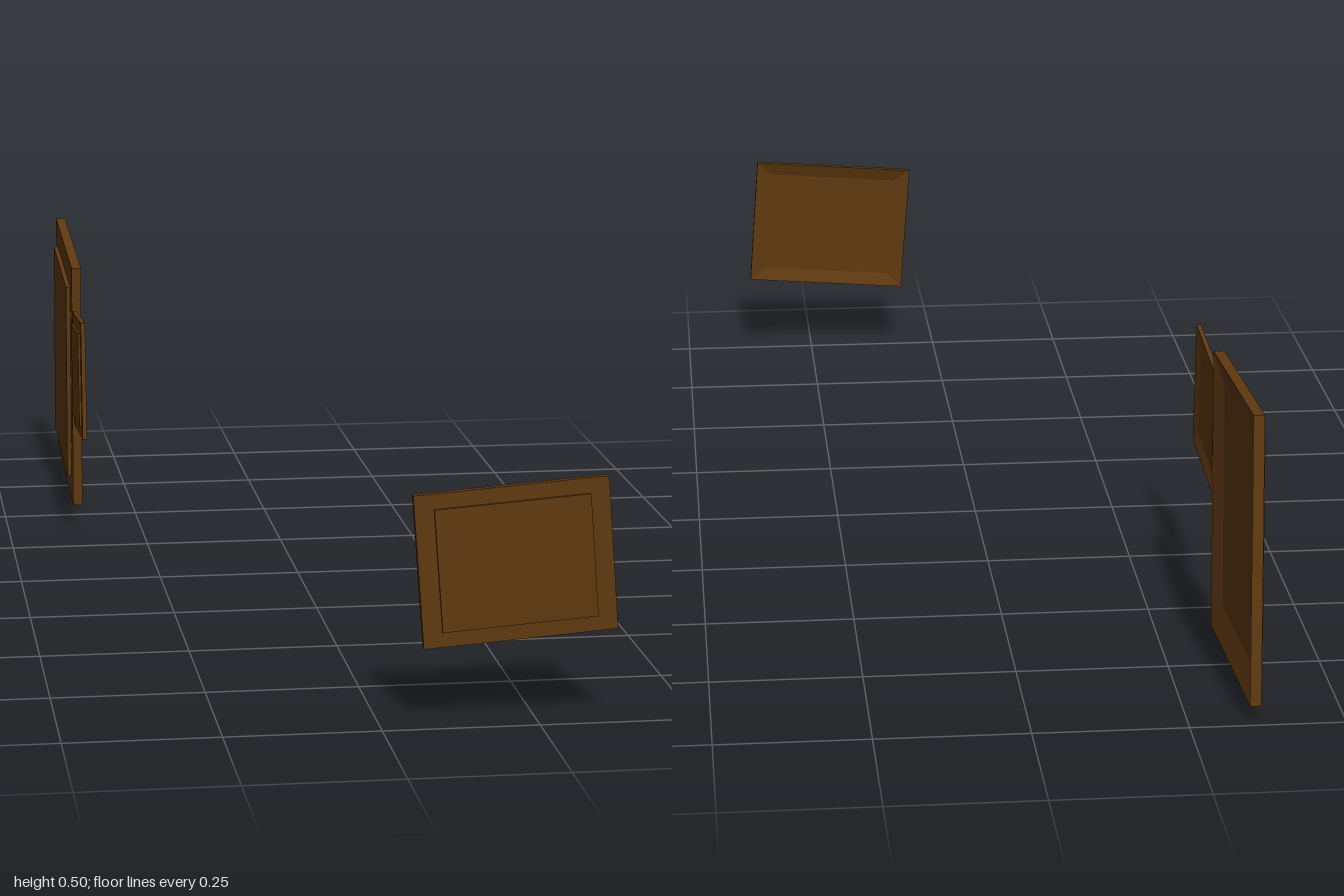
import * as THREE from 'three';

const INNER = 0.8; // inner opening relative to the outer outline

// Rectangular band lofted through [scale, z] rings, flat shaded
function mouldingGeometry(w, h, rings) {
  const corners = [[-0.5, -0.5], [0.5, -0.5], [0.5, 0.5], [-0.5, 0.5]];
  const point = ([s, z], i) => {
    const [cx, cy] = corners[i % 4];
    return [cx * w * s, cy * h * s, z];
  };
  const positions = [];
  for (let r = 0; r < rings.length - 1; r++) {
    for (let i = 0; i < 4; i++) {
      const a = point(rings[r], i), b = point(rings[r], i + 1);
      const c = point(rings[r + 1], i + 1), d = point(rings[r + 1], i);
      positions.push(...a, ...d, ...c, ...a, ...c, ...b);
    }
  }
  const geometry = new THREE.BufferGeometry();
  geometry.setAttribute('position', new THREE.Float32BufferAttribute(positions, 3));
  geometry.computeVertexNormals();
  return geometry;
}

// Picture frame facing local +z: sloped moulding around a panel that stands out at the back
function pictureFrame(name, w, h, depth, rear, material) {
  const group = new THREE.Group();
  group.name = name;

  const floor = depth * 0.3;
  const rings = [[INNER, floor], [1, depth], [1, 0], [INNER, 0]];
  const moulding = new THREE.Mesh(mouldingGeometry(w, h, rings), material);
  moulding.name = 'moulding';

  const panel = new THREE.Mesh(new THREE.BoxGeometry(w * INNER, h * INNER, floor + rear), material);
  panel.position.z = (floor - rear) / 2;
  panel.name = 'picturePanel';

  group.add(moulding, panel);
  return group;
}

export function createModel() {
  const model = new THREE.Group();
  model.name = 'pictureFrames';
  const wood = new THREE.MeshStandardMaterial({ color: 0x603a10, flatShading: true, side: THREE.DoubleSide });

  // Three crooked frames: size, depth, back panel depth, position, facing and roll in degrees
  const frames = [
    { name: 'largeFrame', size: [0.417, 0.474], depth: 0.018, rear: 0.008, at: [-0.364, 0.257, -0.77], yaw: 90, roll: 4.2 },
    { name: 'smallFrame', size: [0.215, 0.216], depth: 0.008, rear: 0.004, at: [-0.37, 0.312, -0.343], yaw: 90, roll: -4.5 },
    { name: 'wideFrame', size: [0.308, 0.246], depth: 0.012, rear: 0.005, at: [0.21, 0.267, 0.995], yaw: 180, roll: -4.3 },
  ];
  for (const f of frames) {
    const frame = pictureFrame(f.name, ...f.size, f.depth, f.rear, wood);
    frame.position.set(...f.at);
    frame.rotation.set(0, THREE.MathUtils.degToRad(f.yaw), THREE.MathUtils.degToRad(f.roll));
    model.add(frame);
  }
  return model;
}
